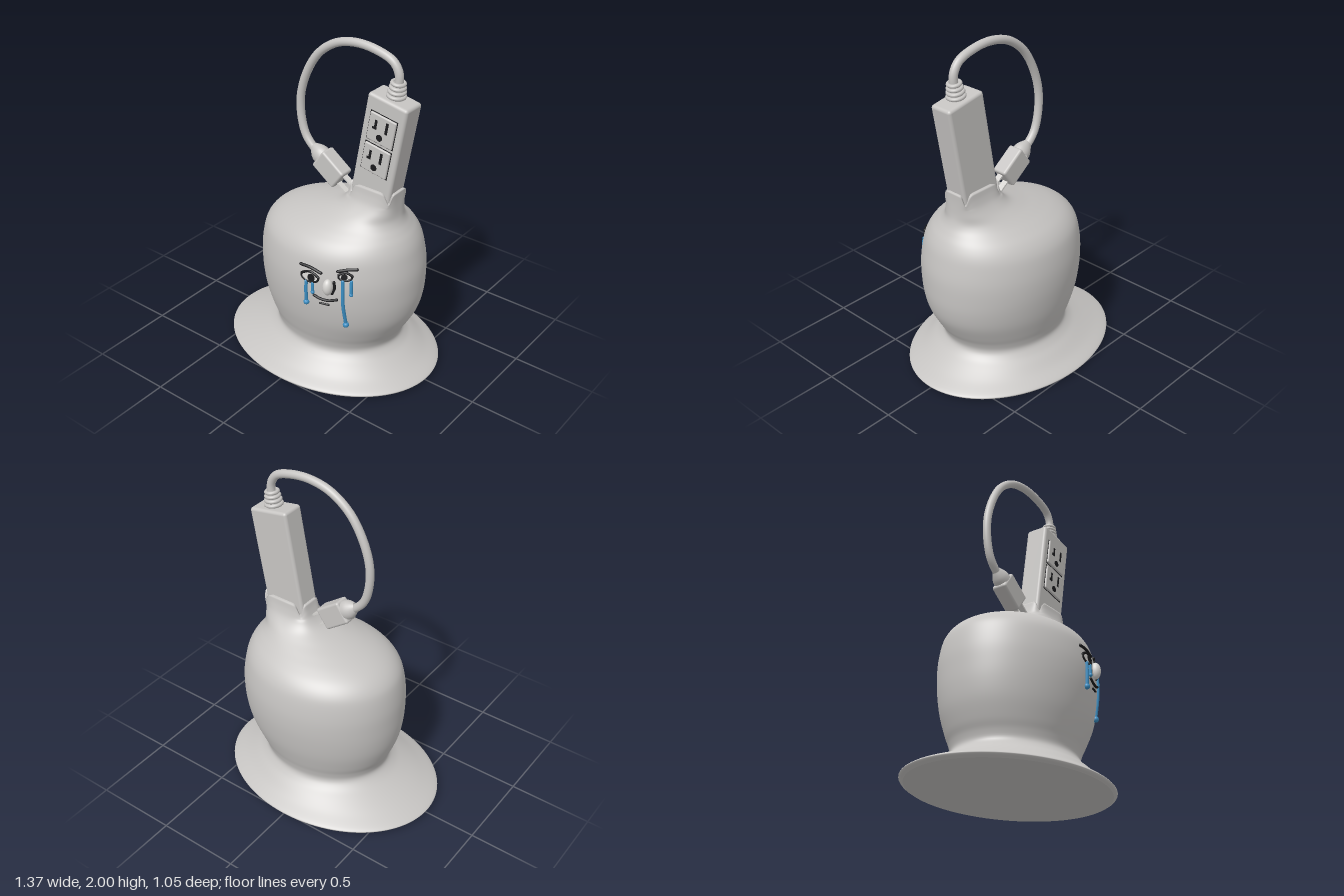
import * as THREE from 'three';
import { RoundedBoxGeometry } from 'three/addons/geometries/RoundedBoxGeometry.js';

const mat = (name, color, side = THREE.FrontSide) => {
  const m = new THREE.MeshStandardMaterial({ color, side });
  m.name = name;
  return m;
};
const grey = mat('grey plastic', 0xc6c4c2, THREE.DoubleSide);
const pale = mat('pale grey', 0xd6d4d1, THREE.DoubleSide);
const black = mat('black', 0x1b1b1d, THREE.DoubleSide);
const blue = mat('tear blue', 0x3b8fc4);

const V = (x, y, z = 0) => new THREE.Vector3(x, y, z);

function add(parent, name, geometry, material, x = 0, y = 0, z = 0) {
  const m = new THREE.Mesh(geometry, material);
  m.name = name;
  m.position.set(x, y, z);
  parent.add(m);
  return m;
}

// Body sections: height, left x, right x, half depth, squareness
const sections = [
  [0.0, -0.66, 0.66, 0.505, 2], [0.015, -0.684, 0.684, 0.523, 2],
  [0.03, -0.675, 0.675, 0.518, 2], [0.07, -0.575, 0.595, 0.455, 2],
  [0.115, -0.46, 0.52, 0.402, 2], [0.15, -0.39, 0.472, 0.362, 2],
  [0.19, -0.353, 0.447, 0.336, 2], [0.24, -0.36, 0.462, 0.343, 2],
  [0.3, -0.387, 0.498, 0.362, 2], [0.4, -0.42, 0.55, 0.39, 2],
  [0.5, -0.436, 0.575, 0.408, 2], [0.6, -0.44, 0.582, 0.418, 2],
  [0.7, -0.437, 0.58, 0.417, 2], [0.8, -0.42, 0.563, 0.402, 2],
  [0.86, -0.395, 0.547, 0.38, 2], [0.91, -0.345, 0.523, 0.342, 2],
  [0.95, -0.27, 0.495, 0.29, 2], [0.985, -0.165, 0.472, 0.236, 2],
  [1.02, -0.035, 0.458, 0.185, 2.1], [1.055, 0.075, 0.452, 0.145, 2.5],
  [1.1, 0.13, 0.45, 0.112, 3.2], [1.145, 0.152, 0.45, 0.096, 4.5],
  [1.19, 0.165, 0.452, 0.088, 6],
];
const curveOf = (pick) =>
  new THREE.CatmullRomCurve3(sections.map((s) => V(...pick(s))), false, 'catmullrom', 0.5);
const widths = curveOf((s) => [s[0], s[1], s[2]]);
const depths = curveOf((s) => [s[0], s[3], s[4]]);

function sectionAt(t) {
  const w = widths.getPoint(t), d = depths.getPoint(t);
  return { y: w.x, cx: (w.y + w.z) / 2, rx: (w.z - w.y) / 2, rz: d.y, n: d.z };
}

function bodyGeometry(rows = 110, cols = 112) {
  const pos = [], index = [];
  const ring = (s, inset) => {
    for (let j = 0; j < cols; j++) {
      const a = (j / cols) * Math.PI * 2, c = Math.cos(a), n = Math.sin(a), p = 2 / s.n;
      // The collar is notched at its four corners
      const notch = Math.pow(Math.abs(Math.sin(2 * a)), 4);
      const y = s.y > 1.1 ? 1.1 + (s.y - 1.1) * (1 - 0.65 * notch) : s.y;
      pos.push(
        s.cx + Math.sign(c) * Math.pow(Math.abs(c), p) * (s.rx - inset), y,
        Math.sign(n) * Math.pow(Math.abs(n), p) * (s.rz - inset));
    }
  };
  for (let i = 0; i <= rows; i++) ring(sectionAt(i / rows), 0);
  ring(sectionAt(1), 0.02);
  for (let i = 0; i <= rows; i++) {
    for (let j = 0; j < cols; j++) {
      const k = (j + 1) % cols;
      const a = i * cols + j, b = i * cols + k, c = a + cols, d = b + cols;
      index.push(a, c, b, b, c, d);
    }
  }
  const g = new THREE.BufferGeometry();
  g.setAttribute('position', new THREE.Float32BufferAttribute(pos, 3));
  g.setIndex(index);
  g.computeVertexNormals();
  return g;
}

// Point on the front of the body, raised by lift
function onBody(x, y, lift = 0) {
  let lo = 0, hi = 1;
  for (let i = 0; i < 30; i++) {
    const mid = (lo + hi) / 2;
    if (widths.getPoint(mid).x < y) lo = mid; else hi = mid;
  }
  const s = sectionAt(lo), u = (x - s.cx) / s.rx;
  return V(x, y, s.rz * Math.sqrt(Math.max(0, 1 - u * u)) + lift);
}

// Stroke following the body surface
function stroke(parent, name, pts, r, material, lift = 0.004, closed = false) {
  const c = new THREE.CatmullRomCurve3(pts.map(([x, y]) => onBody(x, y, lift)), closed);
  add(parent, name, new THREE.TubeGeometry(c, 32, r, 8, closed), material);
  if (closed) return;
  for (const t of [0, 1]) add(parent, name + 'End', new THREE.SphereGeometry(r, 10, 8), material, ...c.getPoint(t));
}

// Elliptic patch following the body surface
function patch(parent, name, x, y, rx, ry, lift, material) {
  const g = new THREE.CircleGeometry(1, 28), p = g.attributes.position;
  for (let i = 0; i < p.count; i++) {
    const v = onBody(x + p.getX(i) * rx, y + p.getY(i) * ry, lift);
    p.setXYZ(i, v.x, v.y, v.z);
  }
  g.computeVertexNormals();
  add(parent, name, g, material);
}

function buildFace() {
  const face = new THREE.Group();
  face.name = 'face';
  for (const [x, y, rx, ry, px] of [[0.15, 0.728, 0.054, 0.03, 0.163], [0.345, 0.769, 0.034, 0.022, 0.344]]) {
    const rim = Array.from({ length: 16 }, (_, i) => {
      const a = (i / 16) * Math.PI * 2;
      return [x + Math.cos(a) * rx, y + Math.sin(a) * ry];
    });
    patch(face, 'eyeWhite', x, y, rx, ry, 0.005, pale);
    patch(face, 'pupil', px, y, ry * 0.75, ry * 0.8, 0.01, black);
    stroke(face, 'eyeRim', rim, 0.006, black, 0.004, true);
    stroke(face, 'upperLid', [[x - rx, y + 0.008], [x, y + ry + 0.003], [x + rx, y + 0.008]], 0.007, black);
  }
  stroke(face, 'rightBrow', [[0.085, 0.786], [0.15, 0.785], [0.215, 0.768]], 0.009, black);
  stroke(face, 'leftBrow', [[0.305, 0.796], [0.35, 0.81], [0.395, 0.815]], 0.009, black);
  stroke(face, 'mouth', [[0.18, 0.618], [0.215, 0.606], [0.26, 0.603], [0.31, 0.618]], 0.008, black);
  stroke(face, 'chinLine', [[0.215, 0.574], [0.265, 0.574]], 0.006, black);
  stroke(face, 'noseShade', [[0.292, 0.73], [0.297, 0.69], [0.285, 0.655]], 0.008, black);
  const nose = add(face, 'nose', new THREE.SphereGeometry(1, 24, 16), pale, ...onBody(0.263, 0.695, 0.008));
  nose.scale.set(0.029, 0.05, 0.032);
  // Tears: start, end, width and drop size
  for (const [x0, y0, x1, y1, r, drop] of [
    [0.13, 0.695, 0.129, 0.555, 0.01, 0.017], [0.172, 0.695, 0.173, 0.637, 0.009, 0.011],
    [0.337, 0.742, 0.346, 0.445, 0.01, 0.018], [0.378, 0.745, 0.382, 0.662, 0.009, 0.011],
  ]) {
    stroke(face, 'tear', [[x0, y0], [(x0 + x1) / 2, (y0 + y1) / 2], [x1, y1]], r, blue, 0.005);
    add(face, 'tearDrop', new THREE.SphereGeometry(drop, 16, 12), blue, ...onBody(x1, y1, 0.006));
  }
  return face;
}

function buildPowerStrip() {
  const strip = new THREE.Group();
  strip.name = 'powerStrip';
  strip.position.set(0.343, 1.39, 0);
  strip.rotation.z = -0.176;
  add(strip, 'stripCase', new RoundedBoxGeometry(0.256, 0.7, 0.142, 4, 0.018), grey);
  // Two outlets with slots and a round hole
  for (const y of [0.175, -0.015]) {
    const outlet = new THREE.Group();
    outlet.name = 'outlet';
    outlet.position.set(0, y, 0.071);
    strip.add(outlet);
    add(outlet, 'outletRecess', new THREE.BoxGeometry(0.176, 0.176, 0.004), black);
    add(outlet, 'outletPlate', new RoundedBoxGeometry(0.168, 0.168, 0.02, 3, 0.008), grey, 0, 0, 0.002);
    add(outlet, 'leftSlot', new THREE.BoxGeometry(0.014, 0.056, 0.008), black, -0.036, 0.022, 0.011);
    add(outlet, 'slotFoot', new THREE.BoxGeometry(0.026, 0.012, 0.008), black, -0.041, 0.0, 0.011);
    add(outlet, 'rightSlot', new THREE.BoxGeometry(0.015, 0.068, 0.008), black, 0.034, 0.028, 0.011);
    const hole = add(outlet, 'groundHole', new THREE.CylinderGeometry(0.019, 0.019, 0.008, 20), black, 0, -0.045, 0.011);
    hole.rotation.x = Math.PI / 2;
  }
  return strip;
}

function buildCable() {
  const cable = new THREE.Group();
  cable.name = 'cable';
  const path = [[0.408, 1.74], [0.424, 1.81], [0.422, 1.875], [0.385, 1.93], [0.28, 1.967], [0.15, 1.976],
    [0.02, 1.945], [-0.1, 1.86], [-0.185, 1.73], [-0.233, 1.58], [-0.232, 1.44], [-0.2, 1.335], [-0.14, 1.268], [-0.09, 1.235]];
  const curve = new THREE.CatmullRomCurve3(path.map(([x, y]) => V(x, y)));
  add(cable, 'cord', new THREE.TubeGeometry(curve, 120, 0.024, 16), grey);
  // Ribbed strain relief
  const relief = new THREE.Group();
  relief.name = 'strainRelief';
  relief.position.set(0.408, 1.735, 0);
  relief.rotation.z = -0.15;
  cable.add(relief);
  add(relief, 'reliefCore', new THREE.CylinderGeometry(0.032, 0.046, 0.09, 24), grey, 0, 0.045, 0);
  for (let i = 0; i < 4; i++) {
    const rib = add(relief, 'reliefRib', new THREE.TorusGeometry(0.045 - i * 0.004, 0.011, 10, 28), grey, 0, 0.014 + i * 0.024, 0);
    rib.rotation.x = Math.PI / 2;
  }
  // Plug with two prongs
  const plug = new THREE.Group();
  plug.name = 'plug';
  plug.position.set(-0.015, 1.185, 0);
  plug.rotation.z = -0.63;
  cable.add(plug);
  add(plug, 'plugCase', new RoundedBoxGeometry(0.18, 0.135, 0.094, 4, 0.014), grey);
  const profile = [[0.058, 0], [0.057, 0.02], [0.05, 0.04], [0.036, 0.062], [0.024, 0.078]];
  const neck = add(plug, 'plugNeck',
    new THREE.LatheGeometry(profile.map(([r, y]) => new THREE.Vector2(r, y)), 28), grey, -0.086, 0, 0);
  neck.rotation.z = Math.PI / 2;
  neck.scale.z = 0.85;
  for (const s of [-1, 1]) add(plug, 'prong', new THREE.BoxGeometry(0.1, 0.01, 0.035), pale, 0.125, s * 0.035, 0);
  return cable;
}

export function createModel() {
  const model = new THREE.Group();
  model.name = 'plungerLamp';
  add(model, 'body', bodyGeometry(), grey);
  const base = add(model, 'baseUnderside', new THREE.CircleGeometry(1, 112), grey);
  base.rotation.x = Math.PI / 2;
  base.scale.set(0.66, 0.505, 1);
  model.add(buildFace(), buildPowerStrip(), buildCable());
  return model;
}
